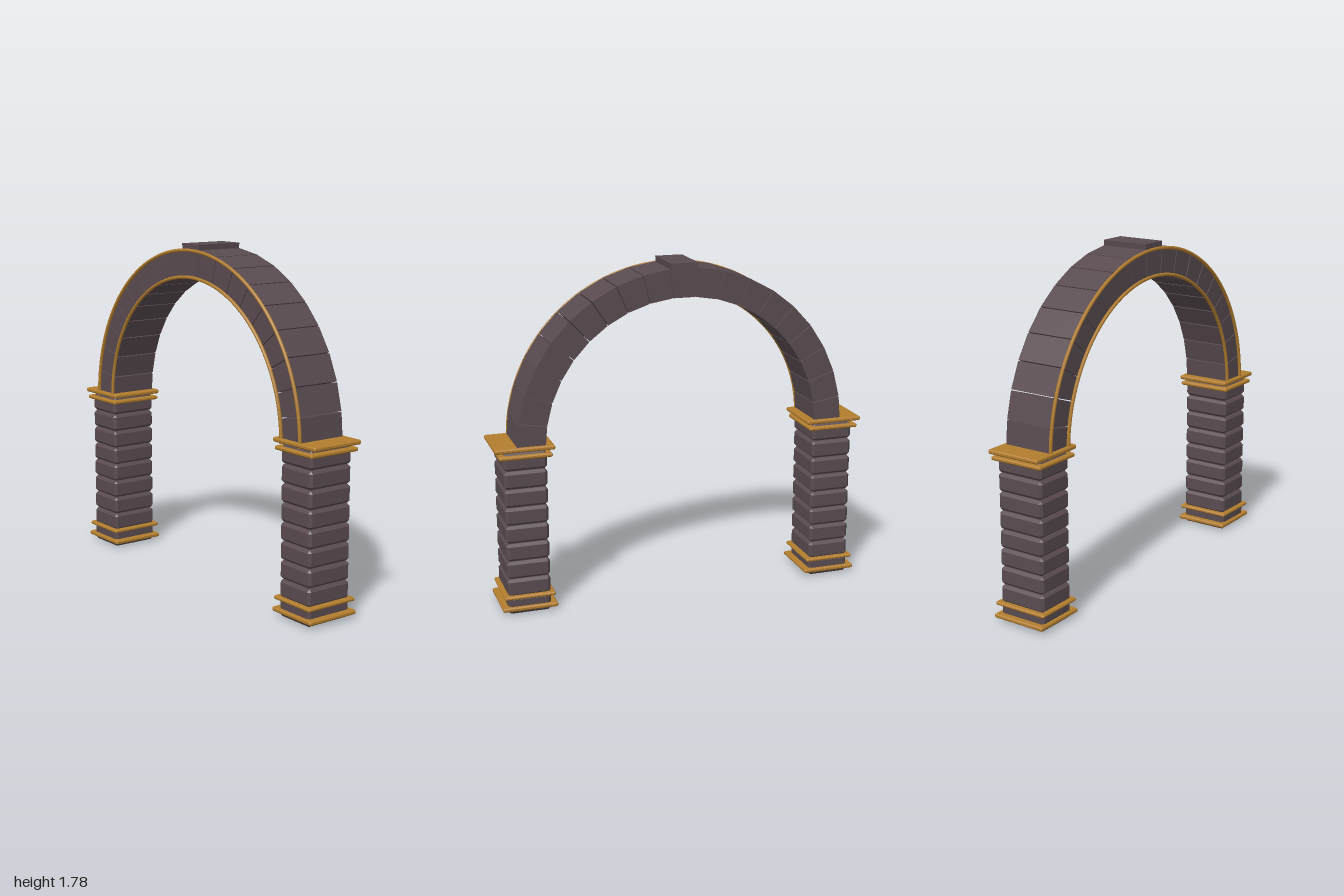
import * as THREE from 'three';
import { ConvexGeometry } from 'three/addons/geometries/ConvexGeometry.js';

const SPRING = 0.875;   // height of the arch centre
const STONES = 19;      // stones around the half circle
const DEPTH = 0.26;

// Box with every edge cut at an angle
function chamferBox(w, h, d, c) {
  const pts = [];
  for (const x of [-1, 1]) for (const y of [-1, 1]) for (const z of [-1, 1]) {
    const [X, Y, Z] = [x * w / 2, y * h / 2, z * d / 2];
    pts.push(
      new THREE.Vector3(X, Y - y * c, Z - z * c),
      new THREE.Vector3(X - x * c, Y, Z - z * c),
      new THREE.Vector3(X - x * c, Y - y * c, Z));
  }
  return new ConvexGeometry(pts);
}

// Wedge stone, drawn upright around the arch centre
function wedge(inner, outer) {
  const half = Math.PI / STONES / 2, gap = 0.0026;
  const shape = new THREE.Shape();
  const at = (r, s) => [s * (r * Math.sin(half) - gap), r * Math.cos(half)];
  shape.moveTo(...at(inner, -1));
  shape.lineTo(...at(inner, 1));
  shape.lineTo(...at(outer, 1));
  shape.lineTo(...at(outer, -1));
  shape.closePath();
  return new THREE.ExtrudeGeometry(shape, { depth: DEPTH, bevelEnabled: false })
    .translate(0, 0, -DEPTH / 2);
}

export function createModel() {
  const stone = new THREE.MeshStandardMaterial({ color: 0x594b50 });
  stone.name = 'dark stone';
  const gold = new THREE.MeshStandardMaterial({ color: 0xb27d2e });
  gold.name = 'gold trim';

  const model = new THREE.Group();
  model.name = 'archway';
  const add = (parent, name, geometry, material, x = 0, y = 0, z = 0) => {
    const mesh = new THREE.Mesh(geometry, material);
    mesh.name = name;
    mesh.position.set(x, y, z);
    parent.add(mesh);
    return mesh;
  };

  // Pillars: stacked stones with gold bands at foot and head
  const pitch = 0.097;
  const block = chamferBox(0.225, pitch - 0.004, 0.265, 0.014);
  const bands = [
    ['lowerBaseBand', 0.034, 0.29, 0.022],
    ['upperBaseBand', 0.097, 0.268, 0.018],
    ['lowerCapBand', 0.852, 0.275, 0.02],
    ['upperCapBand', 0.89, 0.31, 0.022],
  ];
  for (const side of [-1, 1]) {
    const pillar = new THREE.Group();
    pillar.name = side > 0 ? 'leftPillar' : 'rightPillar';
    pillar.position.x = side * 0.842;
    model.add(pillar);
    for (let i = 0; i < 9; i++) add(pillar, 'pillarStone', block, stone, 0, (i + 0.5) * pitch, 0);
    for (const [name, y, w, h] of bands) {
      add(pillar, name, chamferBox(w, h, 0.3, 0.006), gold, side * (w > 0.3 ? 0.003 : 0), y, 0);
    }
  }

  // Arch of wedge stones, with a taller keystone in the middle
  const arch = new THREE.Group();
  arch.name = 'arch';
  arch.position.y = SPRING;
  model.add(arch);
  const archStone = wedge(0.737, 0.886);
  const keystone = wedge(0.737, 0.914);
  const mid = (STONES - 1) / 2;
  for (let i = 0; i < STONES; i++) {
    const isKey = i === mid;
    const mesh = add(arch, isKey ? 'keystone' : 'archStone', isKey ? keystone : archStone, stone);
    mesh.rotation.z = (i - mid) * Math.PI / STONES;
  }

  // Gold mouldings along both edges of the front
  for (const [name, r] of [['outerMoulding', 0.878], ['innerMoulding', 0.74]]) {
    add(arch, name, new THREE.TorusGeometry(r, 0.009, 8, 72, Math.PI), gold, 0, 0, 0.136);
  }
  return model;
}
